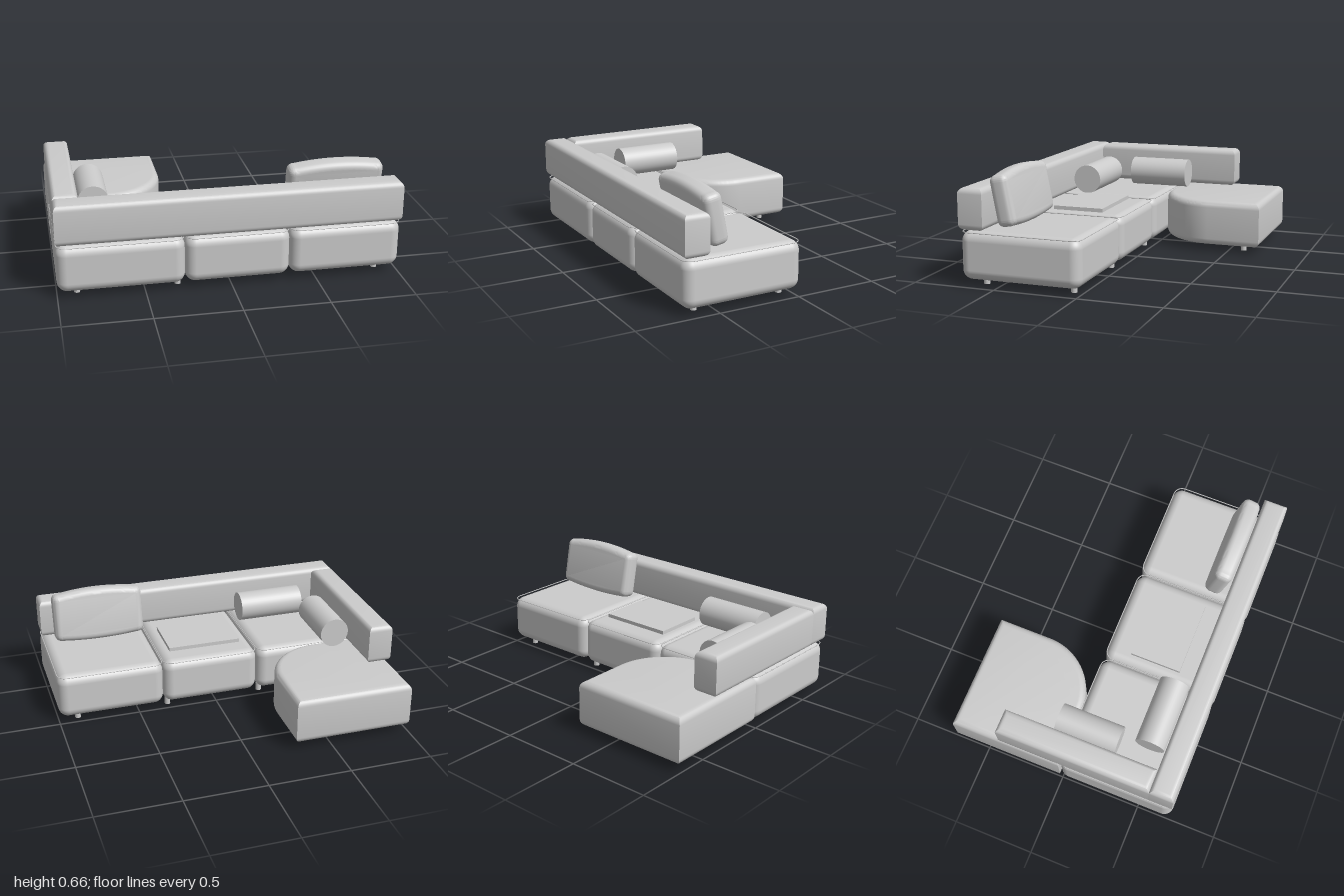
import * as THREE from 'three';
import { RoundedBoxGeometry } from 'three/addons/geometries/RoundedBoxGeometry.js';
import { toCreasedNormals } from 'three/addons/utils/BufferGeometryUtils.js';

const material = new THREE.MeshStandardMaterial({ color: 0xcccccc });

function add(group, name, geometry, x = 0, y = 0, z = 0) {
  const mesh = new THREE.Mesh(geometry, material);
  mesh.name = name;
  mesh.position.set(x, y, z);
  group.add(mesh);
  return mesh;
}

// Rectangle outline in (x, z), optionally with rounded corners
function rectShape(x0, x1, z0, z1, r = 0) {
  const s = new THREE.Shape();
  if (!r) {
    s.moveTo(x0, z0).lineTo(x1, z0).lineTo(x1, z1).lineTo(x0, z1).closePath();
    return s;
  }
  s.absarc(x1 - r, z0 + r, r, -Math.PI / 2, 0);
  s.absarc(x1 - r, z1 - r, r, 0, Math.PI / 2);
  s.absarc(x0 + r, z1 - r, r, Math.PI / 2, Math.PI);
  s.absarc(x0 + r, z0 + r, r, Math.PI, Math.PI * 1.5);
  s.closePath();
  return s;
}

// Extrusion whose bevel stays inside the outline and the given depth
function softExtrude(shape, depth, bevel) {
  return toCreasedNormals(new THREE.ExtrudeGeometry(shape, {
    depth: depth - 2 * bevel, bevelEnabled: true, bevelThickness: bevel,
    bevelSize: bevel, bevelOffset: -bevel, bevelSegments: 6, curveSegments: 28,
  }).translate(0, 0, bevel), 0.6);
}

// Upright block standing on an (x, z) outline between two heights
function upright(shape, y0, y1, bevel) {
  return softExtrude(shape, y1 - y0, bevel).rotateX(Math.PI / 2).translate(0, y1, 0);
}

export function createModel() {
  const group = new THREE.Group();
  group.name = 'sectionalSofa';

  // Three seat blocks, each with piping around its top
  const seatZ0 = -0.02, seatZ1 = 0.71;
  [[-1, -0.27], [-0.27, 0.34], [0.34, 1]].forEach(([x0, x1]) => {
    add(group, 'seat', new RoundedBoxGeometry(x1 - x0, 0.285, seatZ1 - seatZ0, 6, 0.06),
      (x0 + x1) / 2, 0.1825, (seatZ0 + seatZ1) / 2);
    const pts = rectShape(x0 + 0.004, x1 - 0.004, seatZ0 + 0.004, seatZ1 - 0.004, 0.055)
      .getSpacedPoints(90).slice(0, -1).map((p) => new THREE.Vector3(p.x, 0.318, p.y));
    add(group, 'piping', new THREE.TubeGeometry(new THREE.CatmullRomCurve3(pts, true), 120, 0.003, 6, true));
  });

  // Chaise block with one large rounded corner
  const r = 0.36;
  const chaise = new THREE.Shape();
  chaise.moveTo(-1, -0.71).lineTo(-0.275, -0.71).lineTo(-0.275, -0.015 - r);
  chaise.absarc(-0.275 - r, -0.015 - r, r, 0, Math.PI / 2);
  chaise.lineTo(-1, -0.015).closePath();
  add(group, 'chaise', upright(chaise, 0.042, 0.325, 0.04));

  // Backrest and armrest
  add(group, 'backrest', upright(rectShape(-1, 1, 0.56, 0.71), 0.328, 0.572, 0.035));
  add(group, 'armrest', upright(rectShape(-1, -0.85, -0.4, 0.56), 0.328, 0.572, 0.035));

  // Bolsters
  add(group, 'sideBolster', new THREE.CylinderGeometry(0.092, 0.092, 0.385, 40).rotateX(Math.PI / 2),
    -0.75, 0.417, 0.09);
  add(group, 'backBolster', new THREE.CylinderGeometry(0.092, 0.092, 0.415, 40).rotateZ(Math.PI / 2),
    -0.503, 0.417, 0.457);

  // Folded throw on the middle seat
  add(group, 'foldedThrow', new THREE.BoxGeometry(0.46, 0.024, 0.32), 0.035, 0.336, 0.292);

  // Leaning cushion with gently bowed edges
  const w = 0.285, h = 0.15, c = 0.045;
  const outline = new THREE.Shape();
  outline.moveTo(-w + c, -h);
  outline.quadraticCurveTo(0, -h - 0.025, w - c, -h);
  outline.quadraticCurveTo(w, -h, w, -h + c);
  outline.lineTo(w, h - c);
  outline.quadraticCurveTo(w, h, w - c, h);
  outline.quadraticCurveTo(0, h + 0.04, -w + c, h);
  outline.quadraticCurveTo(-w, h, -w, h - c);
  outline.lineTo(-w, -h + c);
  outline.quadraticCurveTo(-w, -h, -w + c, -h);
  const cushion = add(group, 'cushion', softExtrude(outline, 0.115, 0.04).translate(0, 0, -0.0575),
    0.645, 0.494, 0.477);
  cushion.rotation.x = 0.19;

  // Short round feet
  [[-0.885, 0.6], [-0.305, 0.6], [0.88, 0.6], [-0.885, 0.06], [-0.305, 0.06],
    [0.305, 0.06], [0.88, 0.06], [-0.885, -0.59], [-0.385, -0.59]].forEach(([x, z]) =>
    add(group, 'foot', new THREE.CylinderGeometry(0.018, 0.018, 0.05, 16), x, 0.025, z));

  return group;
}
